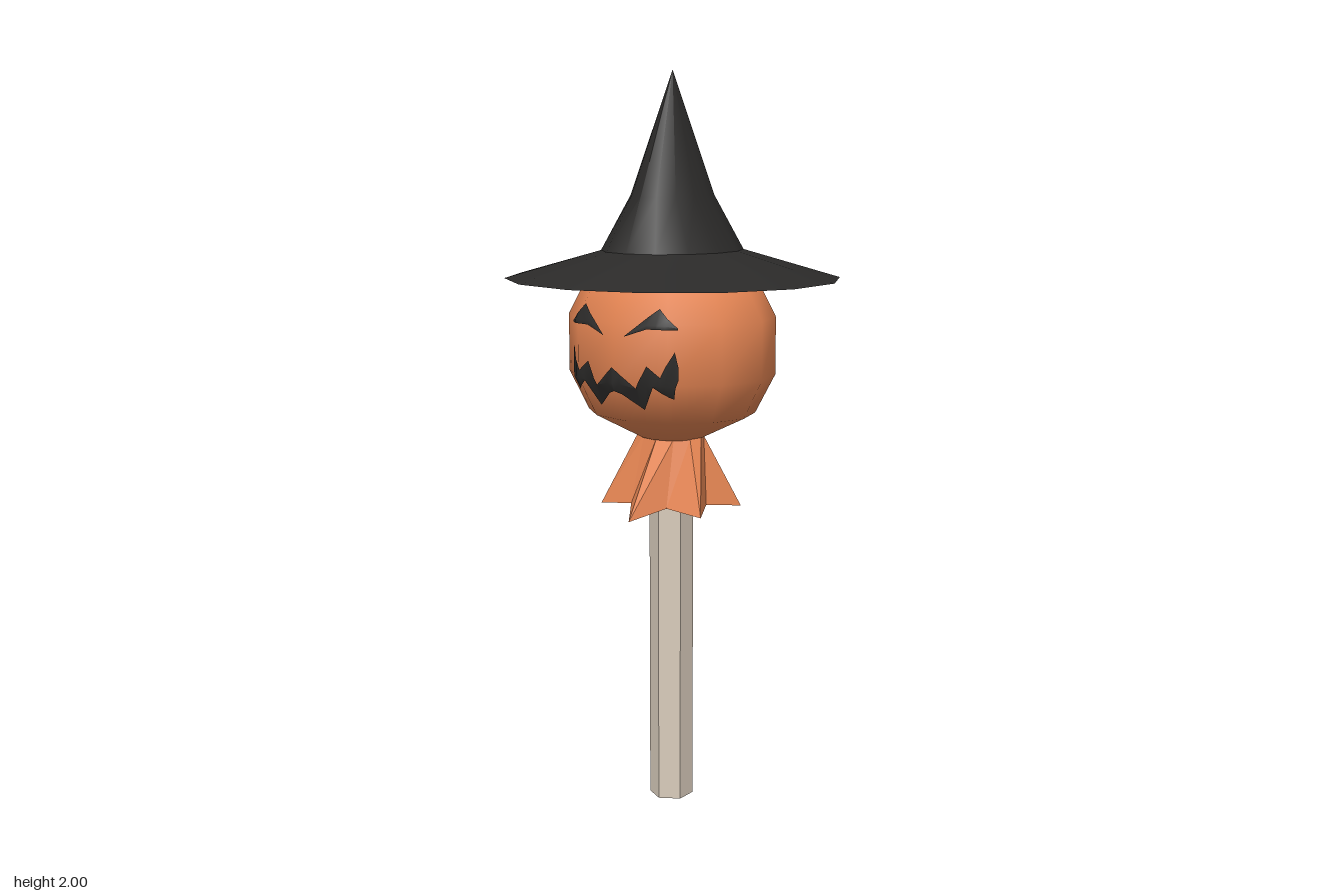
import * as THREE from 'three';
import { toCreasedNormals } from 'three/addons/utils/BufferGeometryUtils.js';

const ORANGE = 0xe58553, BLACK = 0x2b2a29, WOOD = 0xd8cbbb;

// Skin between closed rings of points, listed from bottom to top
function loft(rings) {
  const pos = [];
  const tri = (a, b, c) => {
    if (a.distanceTo(b) < 1e-5 || b.distanceTo(c) < 1e-5 || a.distanceTo(c) < 1e-5) return;
    for (const p of [a, b, c]) pos.push(p.x, p.y, p.z);
  };
  for (let r = 0; r < rings.length - 1; r++) {
    const lo = rings[r], hi = rings[r + 1], n = lo.length;
    for (let i = 0; i < n; i++) {
      const j = (i + 1) % n;
      tri(lo[i], lo[j], hi[j]);
      tri(lo[i], hi[j], hi[i]);
    }
  }
  const geo = new THREE.BufferGeometry();
  geo.setAttribute('position', new THREE.Float32BufferAttribute(pos, 3));
  geo.computeVertexNormals();
  return geo;
}

// Elliptical ring whose first point faces the front
function ring(n, rx, rz, y, zc = 0) {
  return Array.from({ length: n }, (_, i) => {
    const a = (i / n) * Math.PI * 2;
    return new THREE.Vector3(Math.sin(a) * rx, y, zc + Math.cos(a) * rz);
  });
}

function part(name, geometry, color, options = {}) {
  const mesh = new THREE.Mesh(geometry, new THREE.MeshStandardMaterial({ color, ...options }));
  mesh.name = name;
  return mesh;
}

// Linear interpolation along a polyline of [x, y]
function sample(line, x) {
  for (let i = 1; i < line.length; i++) {
    const [x0, y0] = line[i - 1], [x1, y1] = line[i];
    if (x <= x1) return y0 + (y1 - y0) * (x - x0) / (x1 - x0);
  }
  return line[line.length - 1][1];
}

// Pumpkin profile: [height, radius]
const PROFILE = [[1.02, 0], [1.025, 0.09], [1.095, 0.235], [1.2, 0.29],
  [1.355, 0.29], [1.46, 0.235], [1.53, 0.09], [1.535, 0]];
const SIDES = 12, DEPTH = 0.88, HEAD_Z = 0.005;

// Depth of the faceted pumpkin front at (x, y)
function frontZ(x, y) {
  const r = sample(PROFILE, y);
  const corners = [0, 1, 2, 3].map((i) => {
    const a = (i / SIDES) * Math.PI * 2;
    return [Math.sin(a) * r, Math.cos(a) * r * DEPTH];
  });
  return HEAD_Z + sample(corners, Math.abs(x));
}

// Face cut-out between an upper and a lower edge, laid on the pumpkin
function facePatch(name, upper, lower, side) {
  const xMin = upper[0][0], xMax = upper[upper.length - 1][0];
  const xs = [...new Set([...upper, ...lower, [0.1265], [0.145]].map((p) => p[0]))]
    .filter((x) => x >= xMin && x <= xMax).sort((a, b) => a - b);
  const pos = [], index = [];
  xs.forEach((x, c) => {
    const top = sample(upper, x), bottom = sample(lower, x);
    const clamp = (y) => Math.min(top, Math.max(bottom, y));
    for (const y of [bottom, clamp(1.2), clamp(1.355), top]) {
      pos.push(x * side, y, frontZ(x, y) + 0.009);
    }
    if (c === 0) return;
    for (let r = 0; r < 3; r++) {
      const a = (c - 1) * 4 + r, b = a + 4;
      if (side > 0) index.push(a, b, b + 1, a, b + 1, a + 1);
      else index.push(a, b + 1, b, a, a + 1, b + 1);
    }
  });
  const geo = new THREE.BufferGeometry();
  geo.setAttribute('position', new THREE.Float32BufferAttribute(pos, 3));
  geo.setIndex(index);
  geo.computeVertexNormals();
  return part(name, geo, BLACK, { side: THREE.DoubleSide });
}

export function createModel() {
  const model = new THREE.Group();
  model.name = 'pumpkinOnStick';

  // Six-sided stick with a corner to the front
  const stick = part('stick', new THREE.CylinderGeometry(0.06, 0.06, 1.0, 6), WOOD, { flatShading: true });
  stick.position.set(0, 0.5, 0.006);
  model.add(stick);

  // Pleated collar: six-pointed star hem gathered to a small neck
  const hem = ring(12, 1, 1, 0).map((p, i) => {
    const tip = i % 2 === 0, r = tip ? 0.192 : 0.118;
    const y = tip ? (i % 6 === 0 ? 0.82 : 0.835) : 0.848;
    return new THREE.Vector3(p.x * r, y, p.z * r + 0.008);
  });
  const collar = loft([ring(12, 0, 0, 0.845, 0.008), hem, ring(12, 0.1, 0.065, 1.03, 0.008)]);
  model.add(part('collar', collar, ORANGE, { flatShading: true, side: THREE.DoubleSide }));

  // Pumpkin head, flattened front to back
  const head = loft(PROFILE.map(([y, r]) => ring(SIDES, r, r * DEPTH, y, HEAD_Z)));
  model.add(part('pumpkinHead', toCreasedNormals(head, 0.8), ORANGE));

  // Carved face, mirrored left and right
  const face = new THREE.Group();
  face.name = 'face';
  const eyeTop = [[0.032, 1.323], [0.12, 1.397], [0.17, 1.349]];
  const eyeBottom = [[0.032, 1.323], [0.095, 1.345], [0.17, 1.345]];
  const mouthTop = [[0, 1.243], [0.063, 1.19], [0.095, 1.25], [0.132, 1.222], [0.164, 1.288], [0.171, 1.25]];
  const mouthBottom = [[0, 1.18], [0.02, 1.172], [0.071, 1.132], [0.111, 1.196], [0.153, 1.164], [0.171, 1.215]];
  for (const [word, side] of [['left', 1], ['right', -1]]) {
    face.add(facePatch(word + 'Eye', eyeTop, eyeBottom, side));
    face.add(facePatch(word + 'Mouth', mouthTop, mouthBottom, side));
  }
  model.add(face);

  // Pointed hat: flat underside, sloping brim and slightly pinched crown
  const hat = loft([
    ring(14, 0, 0, 1.455),
    ring(14, 0.455, 0.443, 1.455),
    ring(14, 0.182, 0.206, 1.53),
    ring(14, 0.094, 0.141, 1.675),
    ring(14, 0, 0, 2),
  ]);
  model.add(part('hat', toCreasedNormals(hat, 0.6), BLACK));

  return model;
}
